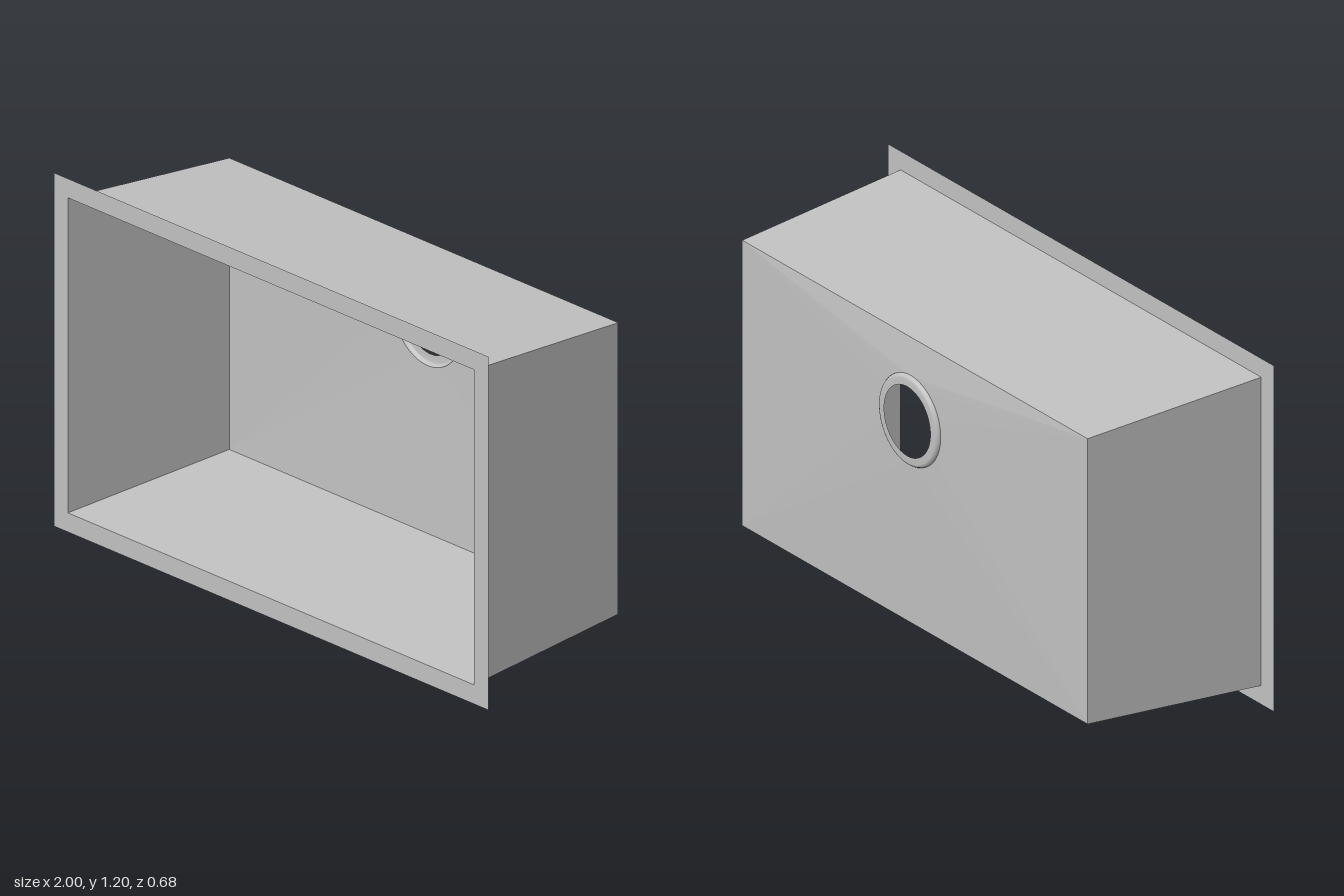
import * as THREE from 'three';

const RIM_Z = 0.34, FLOOR_Z = -0.31, DRAIN_Z = -0.326;
const DRAIN = { x: 0, y: 0.82, r: 0.155 };

// Rectangle corners, counter-clockwise from the upper left-hand (+x) one
const corners = (hx, y0, y1, z) => [[hx, y1, z], [-hx, y1, z], [-hx, y0, z], [hx, y0, z]];

// Triangle strip between two closed loops of equal length
function loft(outer, inner) {
  const n = outer.length, index = [];
  for (let i = 0; i < n; i++) {
    const j = (i + 1) % n;
    index.push(i, j, n + j, i, n + j, n + i);
  }
  const g = new THREE.BufferGeometry();
  g.setAttribute('position', new THREE.Float32BufferAttribute([...outer, ...inner].flat(), 3));
  g.setIndex(index);
  return g;
}

export function createModel() {
  const group = new THREE.Group();
  const steel = new THREE.MeshStandardMaterial({ color: 0xc0c0c0, side: THREE.DoubleSide });
  steel.name = 'brushed steel';
  const add = (name, geometry) => {
    const mesh = new THREE.Mesh(geometry, steel);
    mesh.name = name;
    group.add(mesh);
    return mesh;
  };

  const opening = corners(0.935, 0.065, 1.135, RIM_Z);
  const base = corners(0.895, 0.105, 1.095, FLOOR_Z);

  // Flat mounting flange around the opening
  const toPoints = (loop) => loop.map(([x, y]) => new THREE.Vector2(x, y));
  const flange = new THREE.Shape(toPoints(corners(1, 0, 1.2, 0)));
  flange.holes.push(new THREE.Path(toPoints(opening)));
  add('flange', new THREE.ShapeGeometry(flange)).position.z = RIM_Z;

  // Four tapered walls with sharp corners
  const walls = loft(opening, base).toNonIndexed();
  walls.computeVertexNormals();
  add('basinWalls', walls);

  // Floor falling gently from each corner to the drain
  const outer = [], inner = [], steps = 16;
  for (let q = 0; q < 4; q++) {
    for (let i = 0; i <= steps; i++) {
      const a = (q + i / steps) * Math.PI / 2;
      outer.push(base[q]);
      inner.push([DRAIN.x + DRAIN.r * Math.cos(a), DRAIN.y + DRAIN.r * Math.sin(a), DRAIN_Z]);
    }
  }
  const floor = loft(outer, inner);
  floor.computeVertexNormals();
  add('basinFloor', floor);

  // Recessed drain seat with an open hole
  const profile = [[0.12, -0.34], [0.143, -0.34], [0.15, -0.337], [0.154, -0.331], [DRAIN.r, DRAIN_Z]]
    .map(([r, z]) => new THREE.Vector2(r, z));
  const seat = new THREE.LatheGeometry(profile, 64);
  seat.rotateX(Math.PI / 2);
  add('drainSeat', seat).position.set(DRAIN.x, DRAIN.y, 0);

  return group;
}
